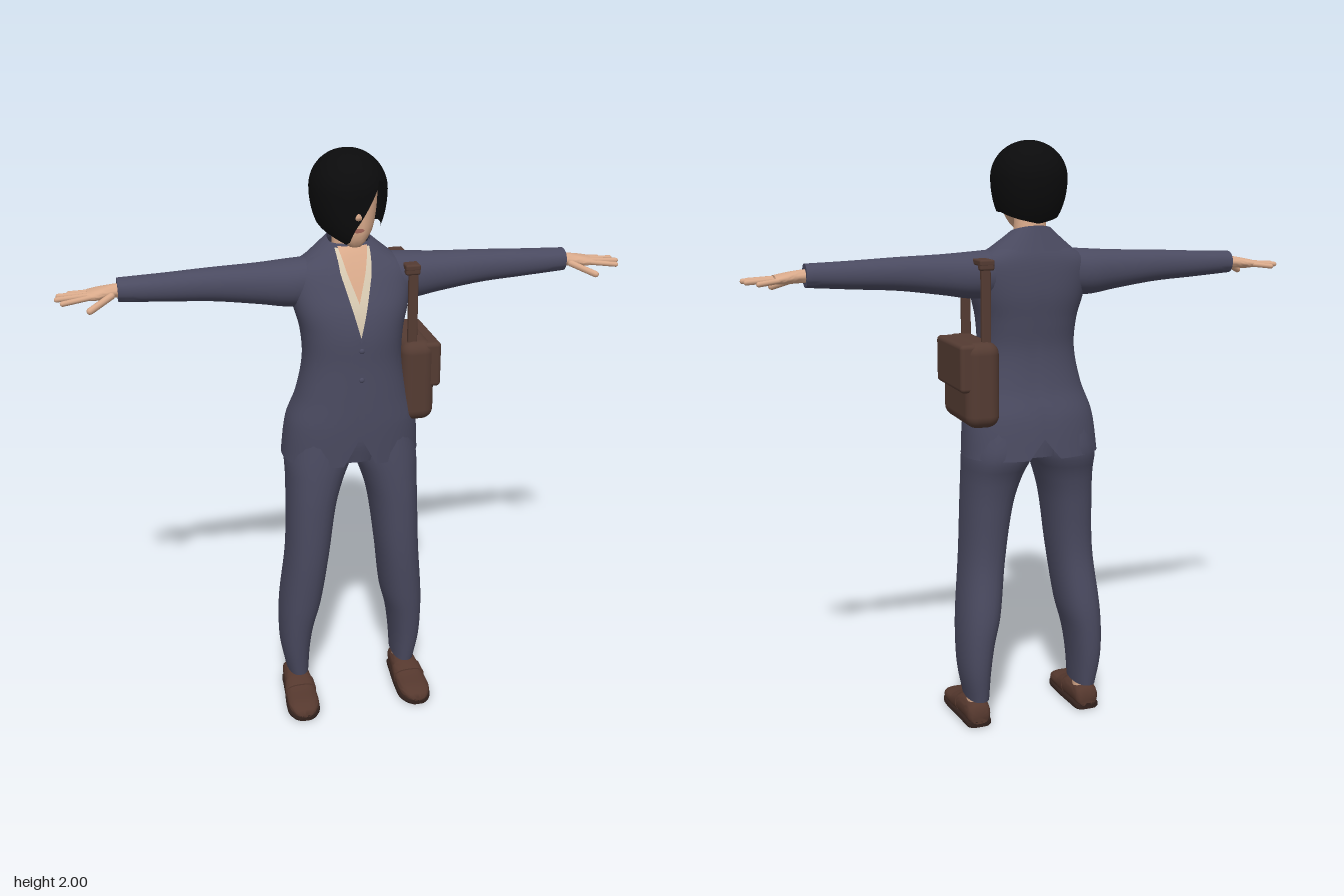
import * as THREE from 'three';
import { mergeVertices, toCreasedNormals } from 'three/addons/utils/BufferGeometryUtils.js';
import { RoundedBoxGeometry } from 'three/addons/geometries/RoundedBoxGeometry.js';

const paint = (name, color) => {
  const m = new THREE.MeshStandardMaterial({ color, side: THREE.DoubleSide });
  m.name = name;
  return m;
};

// Smooth surface through fn(u, v), both running 0..1
function grid(nu, nv, fn, flip = false) {
  const pos = [], index = [];
  for (let j = 0; j <= nv; j++) for (let i = 0; i <= nu; i++) pos.push(...fn(i / nu, j / nv));
  for (let j = 0; j < nv; j++) for (let i = 0; i < nu; i++) {
    const a = j * (nu + 1) + i, b = a + 1, c = a + nu + 1, d = c + 1;
    index.push(...(flip ? [a, b, c, b, d, c] : [a, c, b, b, c, d]));
  }
  const g = new THREE.BufferGeometry();
  g.setAttribute('position', new THREE.Float32BufferAttribute(pos, 3));
  g.setIndex(index);
  return toCreasedNormals(mergeVertices(g, 1e-5), 1.0);
}

// Smoothly interpolated cross-section row [t, aMin, aMax, bMin, bMax]
function rowAt(rows, t) {
  const last = rows.length - 1;
  let i = 0;
  while (i < last - 1 && rows[i + 1][0] < t) i++;
  const p = rows[Math.max(i - 1, 0)], q = rows[i], r = rows[i + 1], s = rows[Math.min(i + 2, last)];
  const d = r[0] - q[0], u = THREE.MathUtils.clamp((t - q[0]) / d, 0, 1), u2 = u * u, u3 = u2 * u;
  return q.map((_, k) => {
    const m0 = (r[k] - p[k]) / (r[0] - p[0]) * d, m1 = (s[k] - q[k]) / (s[0] - q[0]) * d;
    return (2 * u3 - 3 * u2 + 1) * q[k] + (u3 - 2 * u2 + u) * m0 + (3 * u2 - 2 * u3) * r[k] + (u3 - u2) * m1;
  });
}

const power = (c, n) => Math.sign(c) * Math.abs(c) ** (2 / n);
function ringPoint(row, angle, n) {
  const [, a0, a1, b0, b1] = row;
  return [(a0 + a1) / 2 + (a1 - a0) / 2 * power(Math.cos(angle), n),
    (b0 + b1) / 2 + (b1 - b0) / 2 * power(Math.sin(angle), n)];
}

const AXES = { x: (t, a, b) => [t, a, b], y: (t, a, b) => [a, t, b], z: (t, a, b) => [a, b, t] };

// Closed loft through rows along an axis; side = -1 builds the mirrored copy
function loft(rows, { axis = 'y', side = 1, n = 2.2, nu = 28, nv = 28 } = {}) {
  const t0 = rows[0][0], t1 = rows[rows.length - 1][0];
  return grid(nu, nv + 2, (u, v) => {
    const j = Math.round(v * (nv + 2));
    const t = t0 + (t1 - t0) * THREE.MathUtils.clamp((j - 1) / nv, 0, 1);
    const row = rowAt(rows, t);
    let [a, b] = ringPoint(row, (u % 1) * Math.PI * 2, n);
    if (j === 0 || j === nv + 2) [a, b] = [(row[1] + row[2]) / 2, (row[3] + row[4]) / 2];
    const p = AXES[axis](t, a, b);
    return [p[0] * side, p[1], p[2]];
  }, (axis !== 'y') !== (side < 0));
}

// Thin plate lying on the front of a loft, between x = xa(y) and x = xb(y)
function patch(rows, n, y0, y1, xa, xb, off) {
  return grid(8, 14, (u, v) => {
    const y = y0 + (y1 - y0) * v, x = xb(y) + (xa(y) - xb(y)) * u;
    const [, a0, a1, b0, b1] = rowAt(rows, y);
    const t = Math.min(Math.abs(x - (a0 + a1) / 2) / ((a1 - a0) / 2), 1);
    return [x, y, (b0 + b1) / 2 + (b1 - b0) / 2 * (1 - t ** n) ** (1 / n) + off];
  });
}

// Linear lookup in [key, value] pairs
function lookup(keys, k) {
  let i = 0;
  while (i < keys.length - 2 && keys[i + 1][0] < k) i++;
  const [a, b] = [keys[i], keys[i + 1]];
  return a[1] + (b[1] - a[1]) * (k - a[0]) / (b[0] - a[0]);
}

const TORSO = [[0.96, -0.238, 0.235, -0.185, 0.135], [1.1, -0.222, 0.222, -0.165, 0.142],
  [1.2, -0.188, 0.19, -0.135, 0.142], [1.32, -0.165, 0.165, -0.12, 0.14], [1.42, -0.17, 0.17, -0.13, 0.14],
  [1.5, -0.19, 0.19, -0.14, 0.125], [1.57, -0.2, 0.2, -0.14, 0.095], [1.62, -0.19, 0.19, -0.135, 0.07],
  [1.655, -0.14, 0.14, -0.125, 0.05], [1.685, -0.085, 0.085, -0.11, 0.03], [1.7, -0.065, 0.065, -0.1, 0.015]];
const PELVIS = [[0.97, -0.12, 0.12, -0.15, 0.11], [1.05, -0.2, 0.2, -0.15, 0.125], [1.15, -0.19, 0.19, -0.13, 0.125]];
const LEG = [[0.1, 0.162, 0.24, -0.11, 0.055], [0.2, 0.155, 0.258, -0.125, 0.07], [0.3, 0.14, 0.262, -0.13, 0.085],
  [0.4, 0.115, 0.258, -0.128, 0.1], [0.6, 0.088, 0.238, -0.105, 0.122], [0.8, 0.06, 0.23, -0.12, 0.13],
  [0.9, 0.03, 0.228, -0.14, 0.13], [0.97, 0, 0.228, -0.165, 0.128], [1.1, -0.02, 0.2, -0.15, 0.12]];
const SLEEVE = [[0.1, 1.5, 1.655, -0.11, 0.05], [0.2, 1.495, 1.648, -0.115, 0.05], [0.3, 1.51, 1.642, -0.1, 0.035],
  [0.45, 1.53, 1.637, -0.088, 0.022], [0.6, 1.54, 1.63, -0.08, 0.015], [0.745, 1.55, 1.625, -0.072, 0.01]];
const PALM = [[0.72, 1.565, 1.61, -0.055, -0.005], [0.77, 1.565, 1.605, -0.06, 0.002],
  [0.81, 1.563, 1.598, -0.072, 0.016], [0.84, 1.565, 1.592, -0.07, 0.016]];
const SHOE = [[-0.09, 0.175, 0.235, 0.012, 0.06], [-0.08, 0.165, 0.245, 0.01, 0.08], [-0.03, 0.16, 0.25, 0.01, 0.09],
  [0.03, 0.155, 0.255, 0.01, 0.085], [0.09, 0.152, 0.262, 0.01, 0.065], [0.15, 0.155, 0.262, 0.01, 0.055],
  [0.185, 0.175, 0.245, 0.012, 0.04], [0.195, 0.19, 0.23, 0.015, 0.03]];
const HEAD = [[1.715, -0.03, 0.01, 0.07, 0.115], [1.73, -0.047, 0.027, 0.03, 0.125], [1.76, -0.072, 0.052, -0.04, 0.133],
  [1.8, -0.086, 0.066, -0.08, 0.135], [1.86, -0.095, 0.075, -0.1, 0.133], [1.92, -0.093, 0.073, -0.1, 0.128],
  [1.97, -0.06, 0.04, -0.06, 0.08]];
const NOSE = [[1.798, -0.022, 0.002, 0.11, 0.138], [1.81, -0.027, 0.007, 0.11, 0.149],
  [1.84, -0.02, 0, 0.11, 0.142], [1.87, -0.016, -0.004, 0.11, 0.133]];
const NECK = [[1.6, -0.06, 0.06, -0.1, 0.05], [1.65, -0.06, 0.06, -0.1, 0.04], [1.7, -0.054, 0.054, -0.085, 0.018],
  [1.8, -0.055, 0.045, -0.075, 0.03]];
// Lower edge of the hair by angle in degrees, 90 = front, 0 = left side
const HAIR_EDGE = [[0, 1.77], [35, 1.77], [44, 1.91], [54, 1.92], [105, 1.735], [115, 1.725], [140, 1.745],
  [180, 1.77], [225, 1.75], [270, 1.735], [315, 1.75], [360, 1.77]];

export function createModel() {
  const model = new THREE.Group();
  const suit = paint('navy suit', 0x4a4a60), skin = paint('skin', 0xd8a98a), black = paint('black hair', 0x0b0b0c);
  const cream = paint('cream shirt', 0xd6c8b0), leather = paint('bag leather', 0x543b32);
  const shoeBrown = paint('shoe brown', 0x55382e), soleBrown = paint('dark sole', 0x33221d);
  const lip = paint('lips', 0xa9695c), white = paint('eye white', 0xe6e0d8);
  const add = (name, geo, mat, x = 0, y = 0, z = 0) => {
    const m = new THREE.Mesh(geo, mat);
    m.name = name;
    m.position.set(x, y, z);
    model.add(m);
    return m;
  };

  // Jacket with a cutaway front hem and a back vent
  add('jacket', grid(72, 48, (u, v) => {
    const ang = (u % 1) * Math.PI * 2, x = ringPoint(TORSO[0], ang, 2.4)[0];
    const peak = Math.max(0, 1 - Math.abs(x) / 0.055);
    const hem = 0.968 + peak * (Math.sin(ang) > 0 ? 0.11 : 0.07);
    const y = hem + (1.7 - hem) * v, [px, pz] = ringPoint(rowAt(TORSO, y), ang, 2.4);
    return [px, y, pz];
  }), suit);

  // Shirt opening, lapels, collar, front edge, buttons and pocket flaps
  const vee = y => lookup([[1.42, 0], [1.62, 0.052], [1.7, 0.058]], y);
  const bare = y => lookup([[1.53, 0], [1.62, 0.03], [1.7, 0.05]], y);
  const lapel = y => vee(y) + lookup([[1.42, 0.006], [1.57, 0.055], [1.585, 0.03], [1.6, 0.045], [1.66, 0.03]], y);
  const front = (...args) => patch(TORSO, 2.4, ...args);
  add('shirt', front(1.42, 1.69, y => -vee(y), vee, 0.004), cream);
  add('bareChest', front(1.53, 1.695, y => -bare(y), bare, 0.007), skin);
  add('leftLapel', front(1.41, 1.66, vee, lapel, 0.009), suit);
  add('rightLapel', front(1.41, 1.66, y => -lapel(y), y => -vee(y), 0.009), suit);
  add('collar', grid(40, 6, (u, v) => {
    const ang = (58 - 296 * u) * Math.PI / 180, back = (1 - Math.sin(ang)) / 2;
    const [bx, bz] = ringPoint(rowAt(TORSO, 1.65), ang, 2.2);
    const tx = 0.07 * Math.cos(ang), tz = -0.037 + 0.066 * Math.sin(ang);
    return [bx * 1.02 + (tx - bx * 1.02) * v, 1.648 + v * (0.042 + 0.04 * back), bz * 1.02 + (tz - bz * 1.02) * v];
  }, true), suit);
  add('frontEdge', front(1.08, 1.42, () => -0.008, () => 0.012, 0.004), suit);
  for (const y of [1.28, 1.38]) {
    const [, , , , z] = rowAt(TORSO, y);
    add('button', new THREE.SphereGeometry(0.009, 12, 8), suit, 0.002, y, z + 0.004).scale.z = 0.6;
  }
  for (const s of [-1, 1]) add('pocketFlap', front(1.115, 1.145, () => s * 0.125 - 0.043, () => s * 0.125 + 0.043, 0.008), suit);

  // Trousers seat
  add('trouserSeat', loft(PELVIS), suit);

  // Paired limbs
  for (const side of [1, -1]) {
    const word = side > 0 ? 'left' : 'right';
    add(word + 'Sleeve', loft(SLEEVE, { axis: 'x', side }), suit);
    add(word + 'TrouserLeg', loft(LEG, { side, n: 2.3, nv: 40 }), suit);
    add(word + 'Ankle', new THREE.CylinderGeometry(0.032, 0.034, 0.1, 20), skin, side * 0.202, 0.1, -0.035);

    // Hand with four fingers and a thumb
    add(word + 'Palm', loft(PALM, { axis: 'x', side, nu: 20, nv: 10 }), skin);
    const fingers = [[0.825, 1.58, 0.006, 0.915, 1.573, 0.03], [0.83, 1.58, -0.016, 0.932, 1.575, -0.01],
      [0.83, 1.579, -0.038, 0.926, 1.574, -0.048], [0.82, 1.578, -0.06, 0.893, 1.57, -0.08],
      [0.765, 1.578, 0, 0.835, 1.55, 0.05]];
    fingers.forEach(([ax, ay, az, bx, by, bz], i) => {
      const a = new THREE.Vector3(ax * side, ay, az), b = new THREE.Vector3(bx * side, by, bz), d = b.clone().sub(a);
      const f = add(word + (i < 4 ? 'Finger' : 'Thumb'), new THREE.CapsuleGeometry(i < 4 ? 0.0085 : 0.011, d.length(), 4, 10), skin);
      f.position.copy(a).add(b).multiplyScalar(0.5);
      f.quaternion.setFromUnitVectors(new THREE.Vector3(0, 1, 0), d.normalize());
    });

    // Loafer: upper, saddle band and sole
    add(word + 'Shoe', loft(SHOE, { axis: 'z', side, n: 2.6 }), shoeBrown);
    const band = [0.035, 0.055, 0.075].map(z => rowAt(SHOE, z)).map(([z, a, b, c, d]) => [z, a - 0.003, b + 0.003, c, d + 0.005]);
    add(word + 'ShoeBand', loft(band, { axis: 'z', side, n: 2.6, nv: 4 }), shoeBrown);
    const sole = SHOE.map(([z, a, b]) => [z, a - 0.003, b + 0.003, 0, 0.022]);
    add(word + 'Sole', loft(sole, { axis: 'z', side, n: 5 }), soleBrown);
  }

  // Head, neck and face
  add('neck', loft(NECK), skin);
  add('head', loft(HEAD), skin);
  add('nose', loft(NOSE, { nu: 16, nv: 12 }), skin);
  const oval = (name, x, y, w, h, off, mat) => {
    const half = q => w * Math.sqrt(Math.max(0, 1 - ((q - y) / h) ** 2));
    add(name, patch(HEAD, 2.2, y - h, y + h, q => x - half(q), q => x + half(q), off), mat);
  };
  oval('lips', -0.01, 1.772, 0.021, 0.007, 0.003, lip);
  for (const s of [-1, 1]) {
    oval('eye', -0.01 + s * 0.034, 1.855, 0.014, 0.006, 0.002, white);
    oval('iris', -0.01 + s * 0.034, 1.855, 0.006, 0.006, 0.004, black);
    oval('upperLid', -0.01 + s * 0.034, 1.861, 0.016, 0.002, 0.005, black);
    oval('eyebrow', -0.01 + s * 0.036, 1.882, 0.019, 0.003, 0.003, black);
  }

  // Bobbed hair with a long fringe swept across the right side of the face
  add('hair', grid(144, 32, (u, v) => {
    const deg = (u % 1) * 360, ang = deg * Math.PI / 180, edge = lookup(HAIR_EDGE, deg);
    const y = edge + (2 - edge) * Math.sin(v * Math.PI / 2);
    const t = y > 1.88 ? (y - 1.88) / 0.12 : (1.88 - y) / 0.19;
    const fall = Math.sqrt(Math.max(0, 1 - t * t)), s = Math.sin(ang);
    const frontFall = y > 1.88 ? fall : (1 - t ** 4) ** 0.25;
    return [-0.01 + 0.122 * fall * power(Math.cos(ang), 2.2), y, power(s, 2.2) * (s > 0 ? 0.146 * frontFall : 0.135 * fall)];
  }), black);

  // Shoulder bag
  const box = (name, w, h, d, r, x, y, z) => add(name, new RoundedBoxGeometry(w, h, d, 4, r), leather, x, y, z);
  box('bagBody', 0.115, 0.28, 0.29, 0.04, 0.2125, 1.23, -0.05);
  box('bagFlap', 0.06, 0.155, 0.27, 0.014, 0.26, 1.287, -0.048);
  for (const z of [0.056, -0.152]) {
    box('bagStrap', 0.032, 0.3, 0.018, 0.005, 0.195, 1.475, z);
    box('strapCorner', 0.05, 0.035, 0.026, 0.008, 0.192, 1.613, z);
  }
  box('strapTop', 0.05, 0.02, 0.235, 0.006, 0.192, 1.62, -0.048);
  return model;
}
